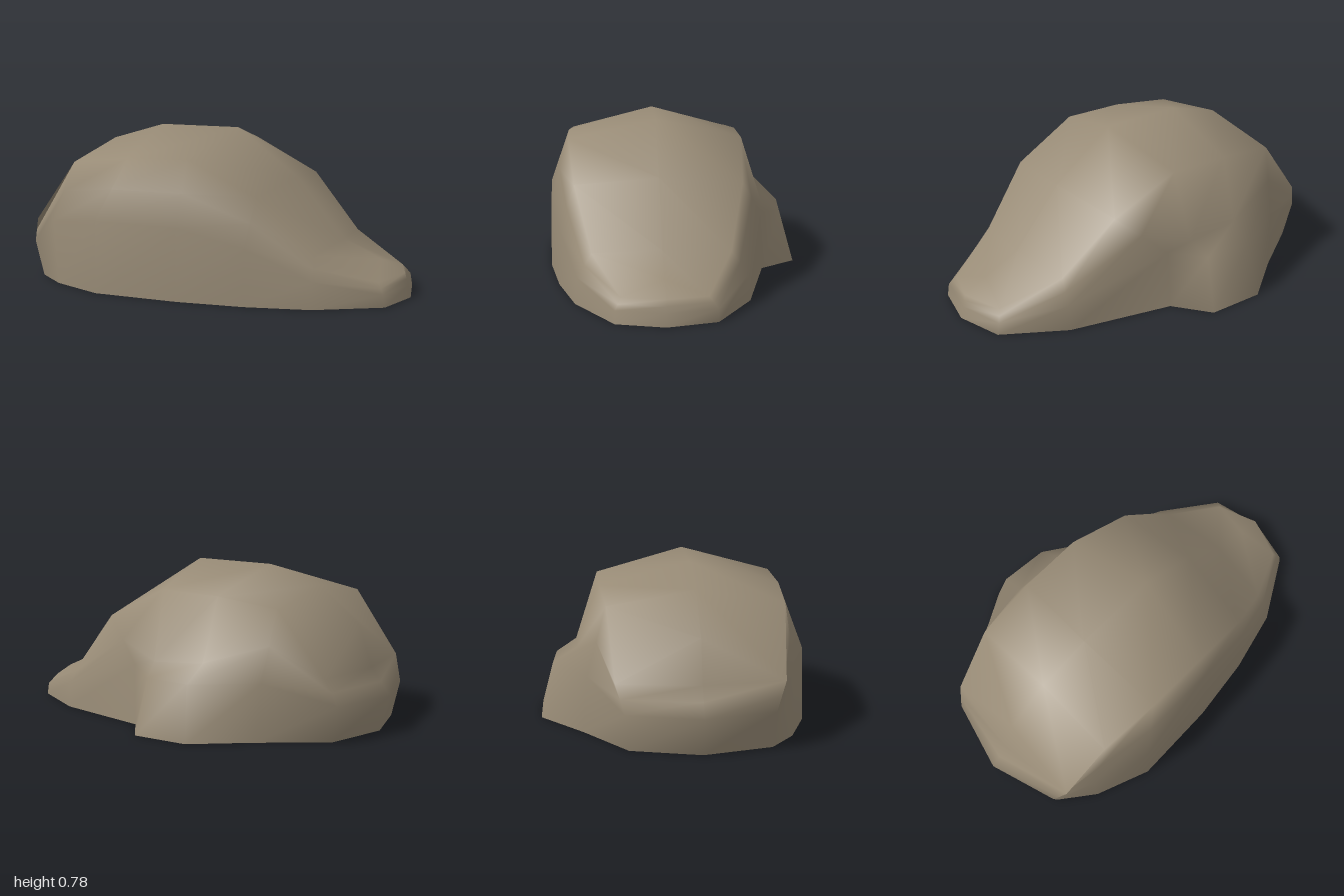
import * as THREE from 'three';
import { mergeVertices } from 'three/addons/utils/BufferGeometryUtils.js';

const RIDGE_Z = 0.09;

// Columns run from the left nose along one flank to the right nose: [x, y, z]
const leftNose = [[-0.95, 0, 0.09], [-1, 0.18, 0.09], [-0.9, 0.31, 0.09]];
const rightNose = [[1, 0, 0.09], [0.985, 0.06, 0.09], [0.97, 0.12, 0.09]];
const shoulder = [
  [-0.85, 0.31, 0.48], [-0.61, 0.62, 0.51], [-0.3, 0.66, 0.53], [0.02, 0.67, 0.53],
  [0.36, 0.51, 0.5], [0.62, 0.24, 0.42], [0.9, 0.11, 0.29],
];
const ridge = [
  [-0.83, 0.51], [-0.61, 0.69], [-0.33, 0.775], [0.09, 0.78],
  [0.41, 0.55], [0.66, 0.26], [0.85, 0.175],
].map(([x, y]) => [x, y, RIDGE_Z]);

// Front flank
const frontBase = [
  [-0.86, 0, 0.42], [-0.7, 0, 0.54], [-0.43, 0, 0.64], [0, 0, 0.625],
  [0.33, 0, 0.58], [0.64, 0, 0.5], [0.94, 0, 0.32],
];
const frontMid = [
  [-0.9, 0.18, 0.43], [-0.72, 0.32, 0.54], [-0.43, 0.36, 0.63], [0, 0.36, 0.62],
  [0.33, 0.28, 0.575], [0.64, 0.13, 0.49], [0.93, 0.06, 0.32],
];

// Back flank, with a low bulge
const backBase = [
  [-0.86, 0, -0.24], [-0.56, 0, -0.44], [-0.3, 0, -0.64], [-0.01, 0, -0.635],
  [0.12, 0, -0.455], [0.64, 0, -0.33], [0.94, 0, -0.15],
];
const backMid = [
  [-0.9, 0.18, -0.26], [-0.58, 0.28, -0.42], [-0.27, 0.27, -0.58], [-0.03, 0.27, -0.56],
  [0.13, 0.3, -0.44], [0.64, 0.13, -0.32], [0.93, 0.06, -0.15],
];
const bulgeTop = { 2: [-0.28, 0.35, -0.46], 3: [0, 0.33, -0.46] };

const middle = (a, b) => a.map((v, i) => (v + b[i]) / 2);

// One column of points, from the ground up to the ridge
const column = (base, mid, high, top, waist = middle(mid, high)) => [base, mid, waist, high, top];

function boulderGeometry() {
  const front = shoulder.map((s, i) => column(frontBase[i], frontMid[i], s, ridge[i]));
  const back = shoulder.map(([x, y, z], i) =>
    column(backBase[i], backMid[i], [x, y, 2 * RIDGE_Z - z], ridge[i], bulgeTop[i]));
  const columns = [
    column(...leftNose, ridge[0]), ...front,
    column(...rightNose, ridge[6]), ...back.reverse(),
  ];

  // Skin neighbouring columns, leaving out collapsed triangles at the ridge
  const positions = [];
  const same = (a, b) => a.every((v, i) => v === b[i]);
  const triangle = (a, b, c) => {
    if (!same(a, b) && !same(b, c) && !same(a, c)) positions.push(...a, ...b, ...c);
  };
  columns.forEach((a, i) => {
    const b = columns[(i + 1) % columns.length];
    for (let j = 0; j < a.length - 1; j++) {
      triangle(a[j], b[j], b[j + 1]);
      triangle(a[j], b[j + 1], a[j + 1]);
    }
  });

  const geometry = new THREE.BufferGeometry();
  geometry.setAttribute('position', new THREE.Float32BufferAttribute(positions, 3));
  const smooth = mergeVertices(geometry);
  smooth.computeVertexNormals();
  return smooth;
}

export function createModel() {
  const stone = new THREE.MeshStandardMaterial({ color: 0x988b76, side: THREE.DoubleSide });
  stone.name = 'stone';

  // Hollow boulder shell, open underneath
  const boulder = new THREE.Mesh(boulderGeometry(), stone);
  boulder.name = 'boulder';

  const group = new THREE.Group();
  group.name = 'rock';
  group.add(boulder);
  return group;
}
